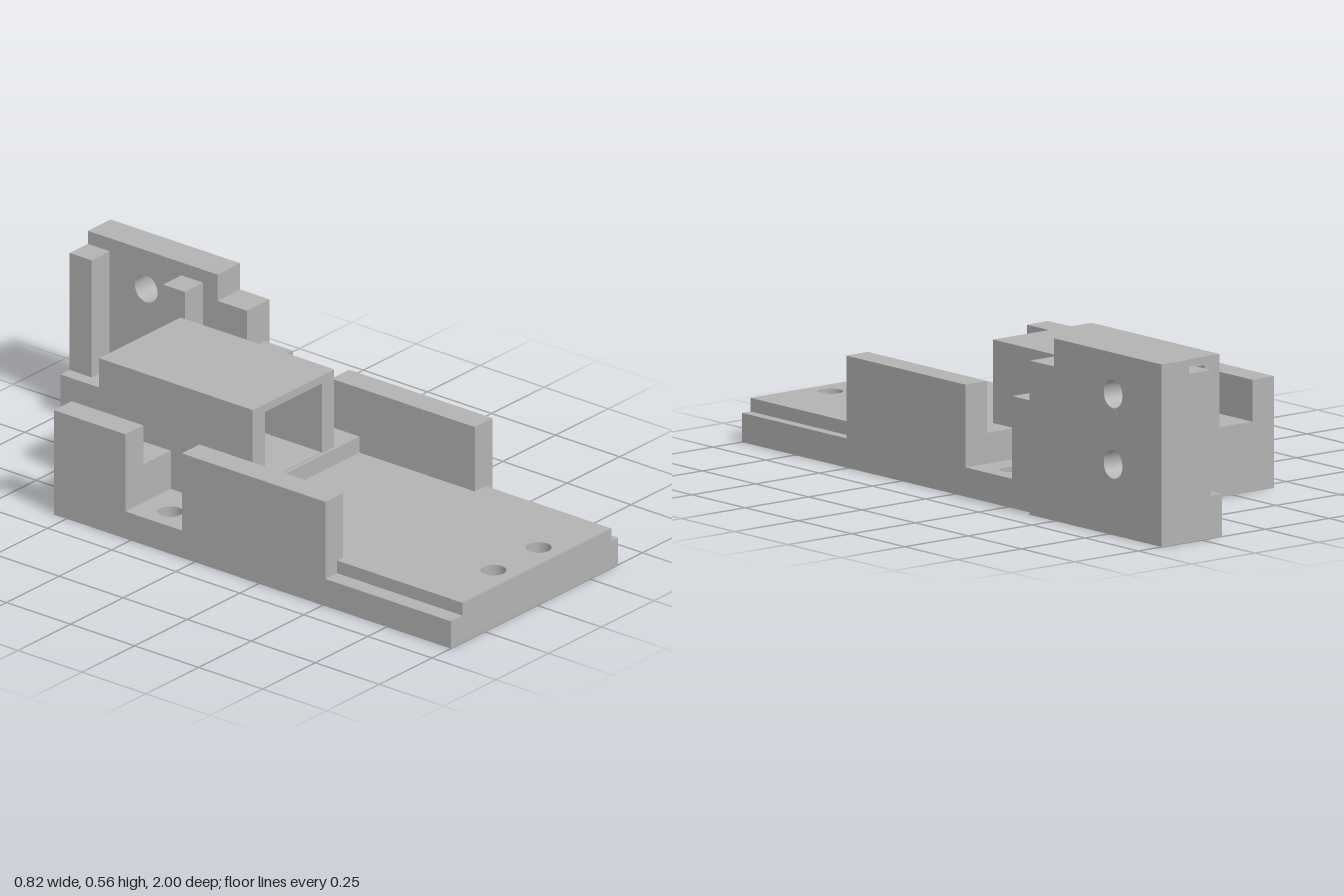
import * as THREE from 'three';

export function createModel() {
  const group = new THREE.Group();
  const grey = new THREE.MeshStandardMaterial({ color: 0xb2b2b2 });

  const add = (name, geometry) => {
    const mesh = new THREE.Mesh(geometry, grey);
    mesh.name = name;
    group.add(mesh);
  };
  // Box given by its limits on each axis
  const box = (name, x0, x1, y0, y1, z0, z1) => {
    const g = new THREE.BoxGeometry(x1 - x0, y1 - y0, z1 - z0);
    add(name, g.translate((x0 + x1) / 2, (y0 + y1) / 2, (z0 + z1) / 2));
  };
  // Extruded outline with round holes
  const plate = (points, holes, radius, depth) => {
    const shape = new THREE.Shape(points.map(([x, y]) => new THREE.Vector2(x, y)));
    for (const [x, y] of holes) {
      shape.holes.push(new THREE.Path().absarc(x, y, radius, 0, Math.PI * 2, true));
    }
    return new THREE.ExtrudeGeometry(shape, { depth, bevelEnabled: false, curveSegments: 32 });
  };
  const rect = (x0, x1, y0, y1) => [[x0, y0], [x1, y0], [x1, y1], [x0, y1]];

  // Base plate and raised front pad, drawn in x and -z, then laid flat
  const frontHoles = [[-0.11, -0.92], [0.105, -0.92]];
  const sideHoles = [[-0.325, 0.165], [0.297, 0.165]];
  const baseOutline = [[-0.41, -1], [0.385, -1], [0.385, 0.38], [0.3, 0.38], [0.3, 0.55], [-0.41, 0.55]];
  add('basePlate', plate(baseOutline, [...frontHoles, ...sideHoles], 0.039, 0.09).rotateX(-Math.PI / 2));
  add('frontPad', plate(rect(-0.355, 0.352, -1, -0.51), frontHoles, 0.039, 0.042)
    .rotateX(-Math.PI / 2).translate(0, 0.09, 0));

  // Floor between the walls, and the bed under the square tube
  box('middleFloor', -0.325, 0.3, 0.09, 0.132, 0.06, 0.51);
  box('tubeBedFront', -0.325, 0.3, 0.09, 0.185, -0.05, 0.06);
  box('tubeBed', -0.195, 0.192, 0.09, 0.185, -0.55, -0.05);

  // Side walls, broken by a notch around each side hole
  box('rightFrontWall', -0.41, -0.325, 0.09, 0.345, -0.05, 0.51);
  box('leftFrontWall', 0.3, 0.385, 0.09, 0.345, -0.05, 0.51);
  box('rightRearWall', -0.41, -0.325, 0.09, 0.345, -0.55, -0.27);
  box('leftRearWall', 0.3, 0.385, 0.09, 0.345, -0.38, -0.27);
  box('rightRearLedge', -0.325, -0.195, 0.09, 0.216, -0.55, -0.27);
  box('leftRearLedge', 0.192, 0.3, 0.09, 0.216, -0.55, -0.27);

  // Open square tube
  const tube = new THREE.Shape(rect(-0.195, 0.192, 0.185, 0.442).map(p => new THREE.Vector2(...p)));
  tube.holes.push(new THREE.Path(rect(-0.136, 0.133, 0.188, 0.415).map(p => new THREE.Vector2(...p))));
  add('squareTube', new THREE.ExtrudeGeometry(tube, { depth: 0.6, bevelEnabled: false }).translate(0, 0, -0.55));

  // Stepped bracket plate, drawn in -z and y, then turned to face sideways
  const bracketOutline = [[0.38, 0], [1, 0], [1, 0.562], [0.495, 0.562], [0.495, 0.475], [0.38, 0.475]];
  add('bracketPlate', plate(bracketOutline, [[0.772, 0.435], [0.772, 0.218]], 0.044, 0.108)
    .rotateY(Math.PI / 2).translate(0.3, 0, 0));

  // Bracket foot and its two inner posts
  box('bracketFoot', 0.17, 0.3, 0, 0.132, -1, -0.55);
  for (const z of [-1, -0.635]) box('bracketPost', 0.213, 0.3, 0.132, 0.519, z, z + 0.085);

  return group;
}
